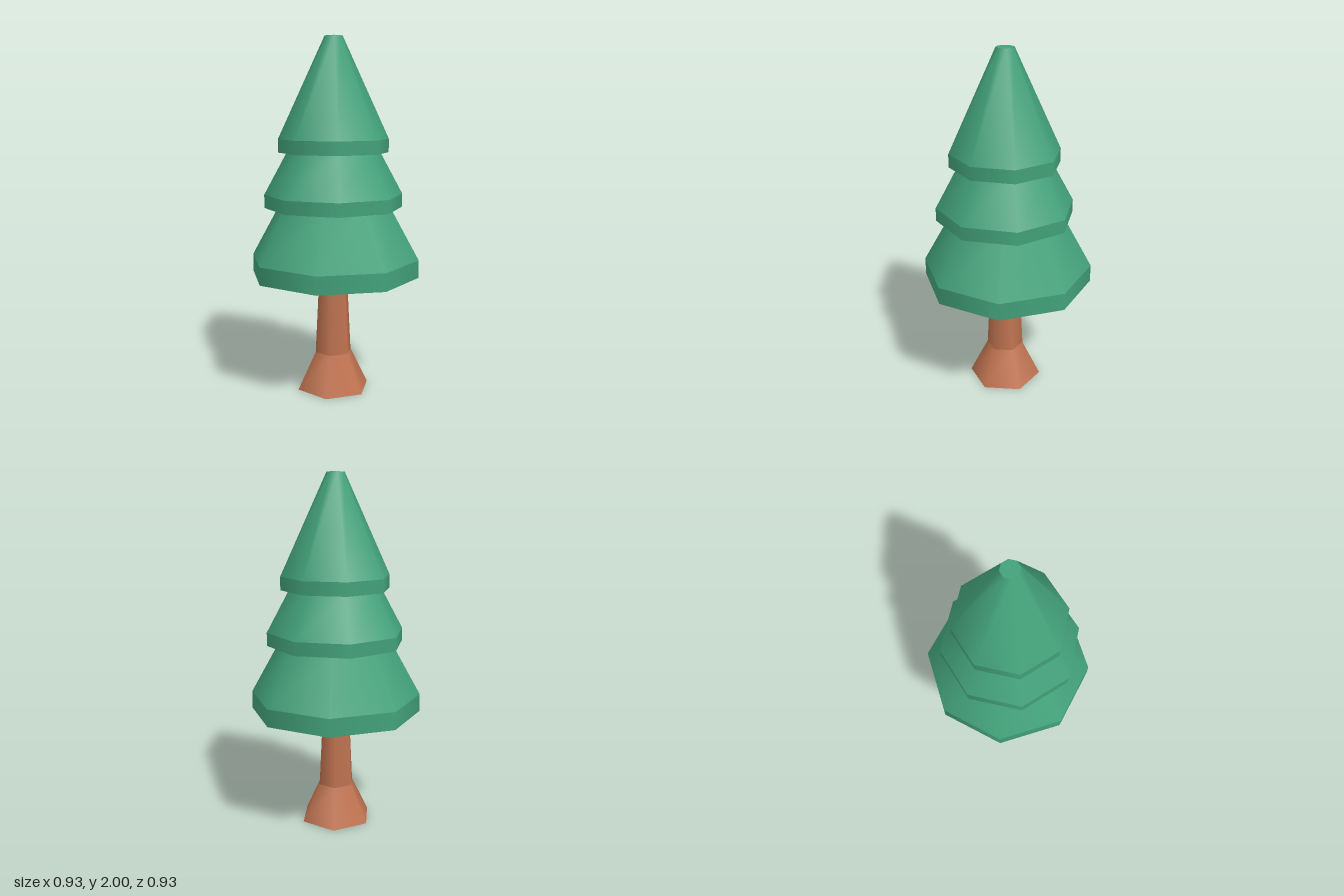
import * as THREE from 'three';

const leaf = new THREE.MeshStandardMaterial({ name: 'leafGreen', color: 0x43a27a });
const bark = new THREE.MeshStandardMaterial({ name: 'barkBrown', color: 0xbf7350 });

export function createModel() {
  const tree = new THREE.Group();
  tree.name = 'pineTree';

  // Tapered prism between two heights, smooth around its sides
  function section(parent, name, material, sides, turn, y0, y1, r0, r1, open = false) {
    const geometry = new THREE.CylinderGeometry(r1, r0, y1 - y0, sides, 1, open, turn);
    const mesh = new THREE.Mesh(geometry, material);
    mesh.name = name;
    mesh.position.y = (y0 + y1) / 2;
    parent.add(mesh);
  }

  function part(name, x, z) {
    const group = new THREE.Group();
    group.name = name;
    group.position.set(x, 0, z);
    tree.add(group);
    return group;
  }

  // Six-sided trunk with a flared foot
  const trunk = part('trunk', 0.004, 0.013);
  section(trunk, 'trunkFoot', bark, 6, Math.PI / 2, 0, 0.215, 0.212, 0.107);
  section(trunk, 'trunkStem', bark, 6, Math.PI / 2, 0.215, 0.68, 0.107, 0.083, true);

  // Eight-sided foliage tiers: an upright rim below a sloping skirt
  const tiers = [
    { name: 'lowerTier', x: 0, z: 0, turn: Math.PI / 6, y: [0.665, 0.765, 1.06], r: [0.483, 0.32] },
    { name: 'middleTier', x: 0.005, z: 0.01, turn: 0, y: [1.055, 1.13, 1.37], r: [0.39, 0.26] },
    { name: 'upperTier', x: 0.005, z: 0.01, turn: 0, y: [1.365, 1.44, 2], r: [0.31, 0.05] },
  ];
  for (const { name, x, z, turn, y, r } of tiers) {
    const tier = part(name, x, z);
    section(tier, name + 'Rim', leaf, 8, turn, y[0], y[1], r[0], r[0]);
    section(tier, name + 'Skirt', leaf, 8, turn, y[1], y[2], r[0], r[1]);
  }

  return tree;
}
